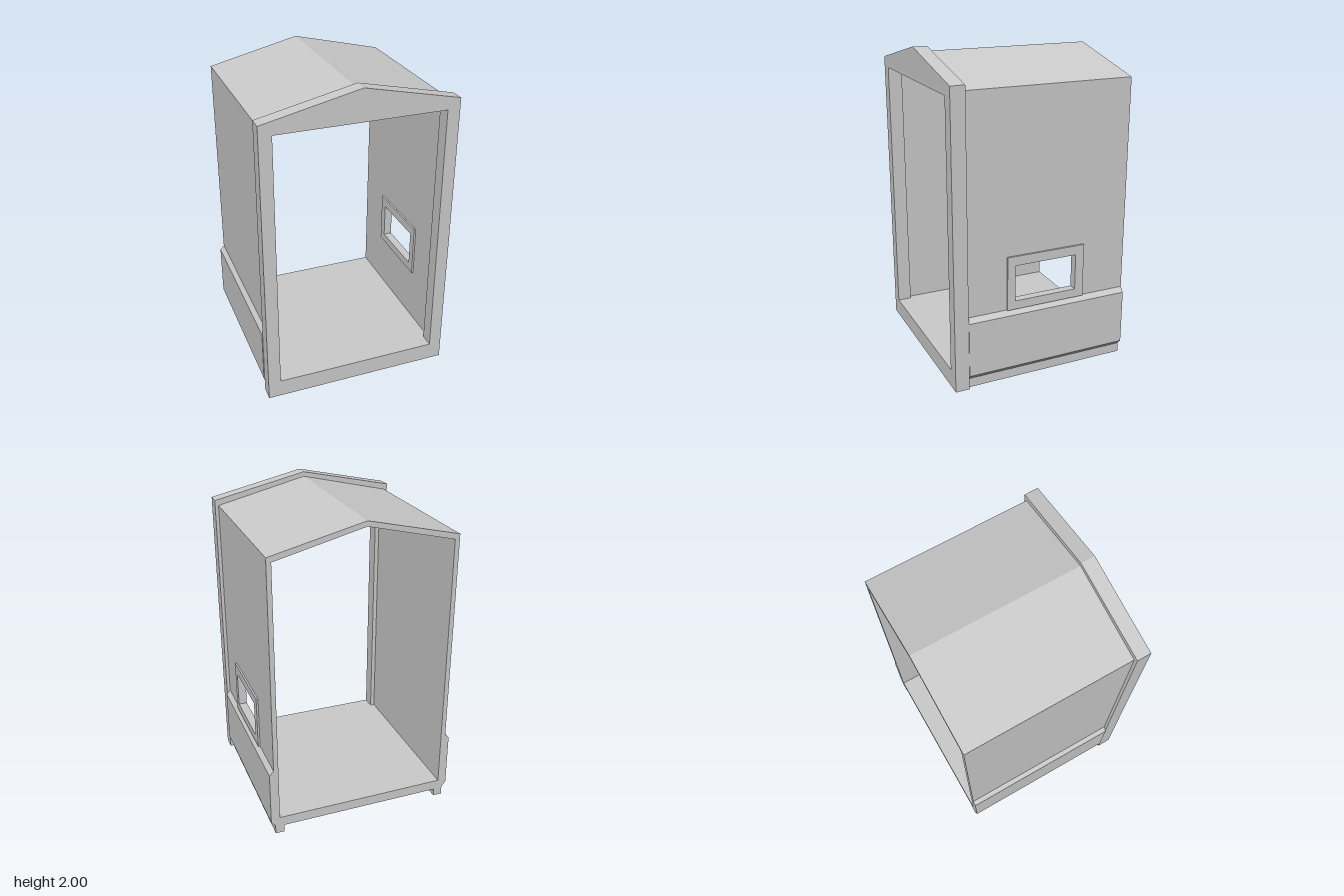
import * as THREE from 'three';

const FRONT = 0.58, BACK = -0.58, JOINT = 0.49; // z of frame front, shell back, frame/shell joint
const WALL = 0.583, INNER = 0.553;              // outer and inner x of the side walls

const material = new THREE.MeshStandardMaterial({ color: 0xcccccc });
const points = (list) => list.map(([x, y]) => new THREE.Vector2(x, y));
const rect = (x0, y0, x1, y1) => [[x0, y0], [x1, y0], [x1, y1], [x0, y1]];

function solid(outline, depth, hole) {
  const shape = new THREE.Shape(points(outline));
  if (hole) shape.holes.push(new THREE.Path(points(hole)));
  return new THREE.ExtrudeGeometry(shape, { depth, bevelEnabled: false });
}

// Outline in x/y, extruded from z0 to z1
const alongZ = (outline, z0, z1, hole) => solid(outline, z1 - z0, hole).translate(0, 0, z0);

// Outline in z/y, extruded from x0 to x1
const alongX = (outline, x0, x1, hole) =>
  solid(outline, x1 - x0, hole).rotateY(-Math.PI / 2).translate(x1, 0, 0);

export function createModel() {
  const model = new THREE.Group();
  const add = (name, geometry) => {
    const mesh = new THREE.Mesh(geometry, material);
    mesh.name = name;
    model.add(mesh);
  };

  // Gabled front frame with a large doorway
  add('frontFrame', alongZ(
    [[-0.605, 0], [0.605, 0], [0.605, 1.865], [0, 2], [-0.605, 1.865]],
    JOINT, FRONT, rect(-0.525, 0.115, 0.525, 1.8)));

  // Thin pitched roof
  add('roof', alongZ(
    [[INNER, 1.8], [WALL, 1.8], [WALL, 1.83], [0, 1.97],
      [-WALL, 1.83], [-WALL, 1.8], [-INNER, 1.8], [0, 1.937]],
    BACK, JOINT));

  // Floor slab raised between the runners
  add('floor', alongZ(rect(-INNER, 0.05, INNER, 0.115), BACK, JOINT));

  // Side walls; only the left one has the hatch opening
  const wall = rect(BACK, 0, JOINT, 1.8);
  const opening = rect(-0.23, 0.525, 0.18, 0.755);
  add('leftWall', alongX(wall, INNER, WALL, opening));
  add('rightWall', alongX(wall, -WALL, -INNER));

  // Hatch surround, standing proud of the wall inside and outside
  add('hatchFrame', alongX(rect(-0.287, 0.47, 0.232, 0.815), 0.541, 0.595, opening));

  for (const [side, s] of [['left', 1], ['right', -1]]) {
    // Raised skirt panel with sloped top and bottom edges
    add(side + 'Skirt', alongZ(
      [[WALL, 0.06], [0.61, 0.09], [0.61, 0.44], [WALL, 0.47]].map(([x, y]) => [s * x, y]),
      BACK, JOINT));
    // Runner below the floor
    add(side + 'Runner', alongZ(
      rect(0.525, 0, INNER, 0.05).map(([x, y]) => [s * x, y]), BACK, JOINT));
  }
  return model;
}
